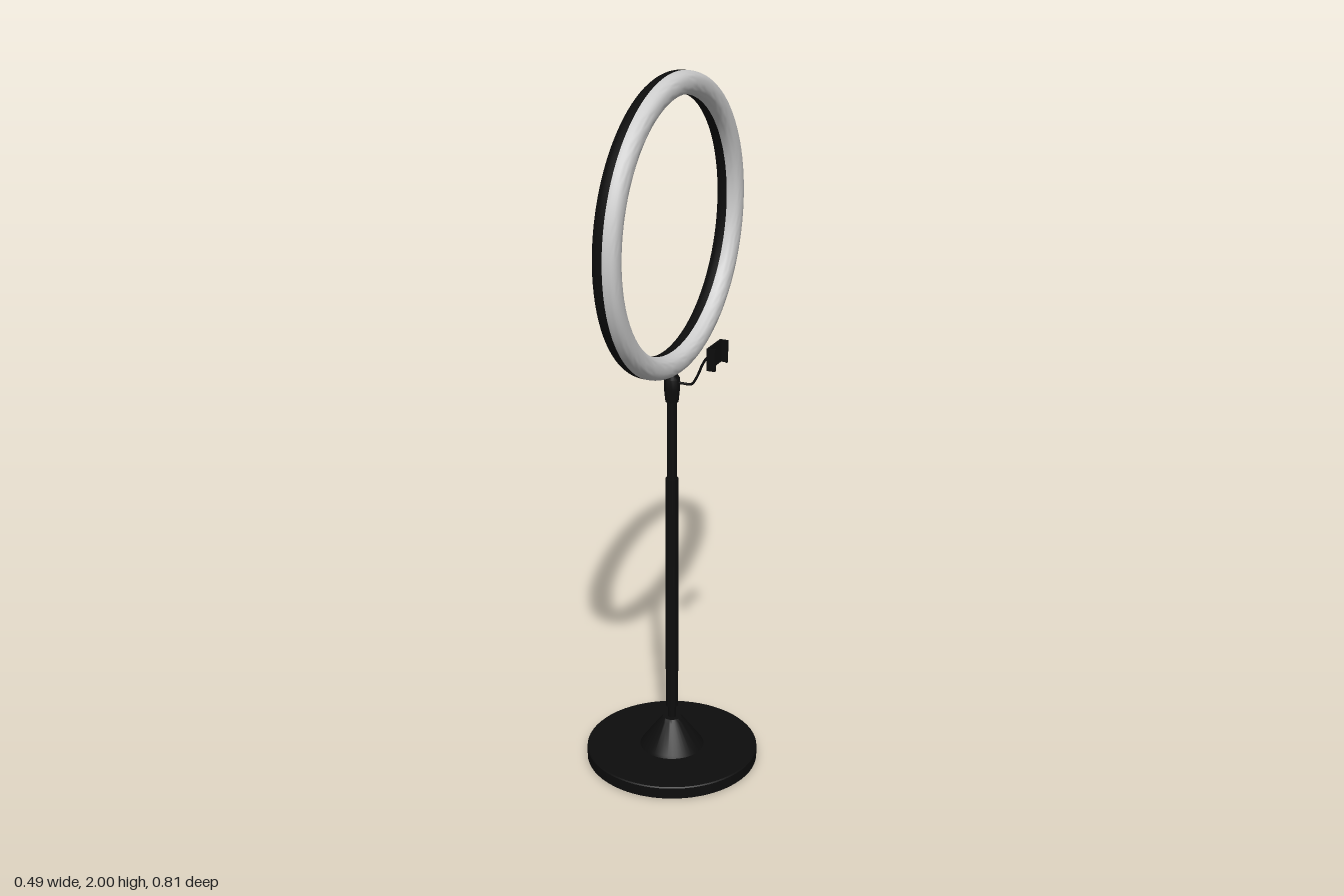
import * as THREE from 'three';
import { toCreasedNormals } from 'three/addons/utils/BufferGeometryUtils.js';

const black = new THREE.MeshStandardMaterial({ color: 0x0d0d0d, side: THREE.DoubleSide });
const grey = new THREE.MeshStandardMaterial({ color: 0xcccccc, side: THREE.DoubleSide });

export function createModel() {
  const model = new THREE.Group();

  const add = (name, geometry, material = black, x = 0, y = 0, z = 0) => {
    const mesh = new THREE.Mesh(geometry, material);
    mesh.name = name;
    mesh.position.set(x, y, z);
    model.add(mesh);
    return mesh;
  };
  // Profile points are [radius, height]
  const lathe = (points, segments, crease = 0.6) => toCreasedNormals(
    new THREE.LatheGeometry(points.map(([r, h]) => new THREE.Vector2(r, h)), segments), crease);

  // Round base plate with its conical hub
  add('base', lathe([[0, 0], [0.243, 0], [0.246, 0.003], [0.246, 0.034], [0.243, 0.037], [0, 0.037]], 64));
  add('baseHub', lathe([[0.092, 0.037], [0.088, 0.044], [0.034, 0.118], [0.026, 0.127], [0, 0.127]], 40));

  // Telescopic pole
  add('poleNeck', lathe([[0.012, 0.12], [0.012, 0.17]], 24));
  add('lowerPole', lathe([[0, 0.163], [0.018, 0.163], [0.018, 0.876], [0, 0.876]], 24));
  add('upperPole', lathe([[0.014, 0.87], [0.014, 1.11]], 24));
  add('poleHead', lathe([[0, 1.103], [0.018, 1.103], [0.022, 1.14], [0.022, 1.17],
    [0.016, 1.18], [0.016, 1.195], [0, 1.195]], 24));

  // Ring lamp: two half shells turned around the x axis
  const ringY = 1.593;
  const seam = 0.003;
  const shell = (depth, power) => {
    const points = [];
    for (let i = 0; i <= 14; i++) {
      const a = Math.PI * i / 14;
      const c = Math.cos(a), s = Math.sin(a);
      points.push([0.376 + 0.031 * Math.sign(c) * Math.abs(c) ** power, depth * s ** power]);
    }
    // Close the shell along the seam
    points.push(points[0]);
    return lathe(points, 96, 0.75).rotateZ(-Math.PI / 2);
  };
  add('ringHousing', shell(-0.036, 0.65), black, seam, ringY);
  add('ringDiffuser', shell(0.034, 0.8), grey, seam, ringY);

  // Bent arm carrying the holder
  const armPath = new THREE.CatmullRomCurve3([
    [0.01, 1.16], [0.035, 1.16], [0.058, 1.162], [0.074, 1.185],
    [0.09, 1.222], [0.102, 1.242], [0.116, 1.253],
  ].map(([x, y]) => new THREE.Vector3(x, y, 0)));
  add('holderArm', new THREE.TubeGeometry(armPath, 40, 0.0035, 10));
  add('ballJoint', new THREE.SphereGeometry(0.01, 20, 14), grey, 0.115, 1.253).scale.x = 0.6;

  // Clamp: back plate with two side jaws and their gripping lips
  const clampY = 1.254, clampZ = -0.004;
  add('clampPlate', new THREE.BoxGeometry(0.006, 0.062, 0.086), black, 0.123, clampY, clampZ);
  for (const side of [-1, 1]) {
    add('clampJaw', new THREE.BoxGeometry(0.024, 0.062, 0.005), black, 0.132, clampY, clampZ + side * 0.0415);
    add('clampLip', new THREE.BoxGeometry(0.004, 0.062, 0.009), black, 0.142, clampY, clampZ + side * 0.0395);
  }
  return model;
}
